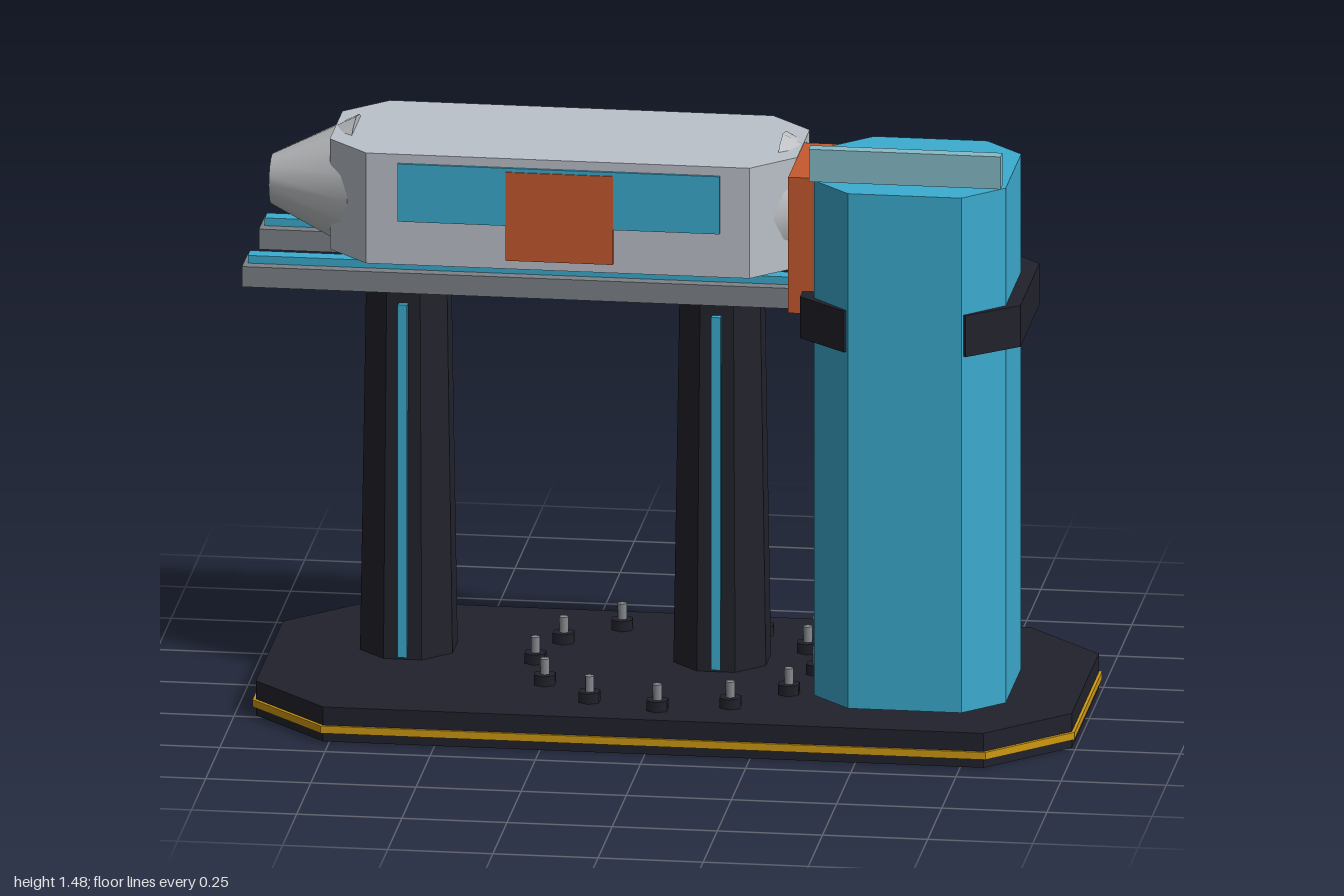
import * as THREE from 'three';

export function createModel() {
  const root = new THREE.Group();
  const mat = (name, color) => {
    const m = new THREE.MeshStandardMaterial({ color });
    m.name = name;
    return m;
  };
  const dark = mat('dark', 0x22222d);
  const blue = mat('blue', 0x3cacd0);
  const hull = mat('pale hull', 0xbcc2ca);
  const nose = mat('nose grey', 0xbfc1c4);
  const steel = mat('rail steel', 0x7d8288);
  const pinGrey = mat('pin grey', 0x888c90);
  const orange = mat('orange', 0xc65a2e);
  const gold = mat('gold', 0xd09a12);
  const pale = mat('pale blue', 0x86bcc8);

  const add = (name, geo, material, x = 0, y = 0, z = 0) => {
    const m = new THREE.Mesh(geo, material);
    m.name = name;
    m.position.set(x, y, z);
    root.add(m);
    return m;
  };
  // box given by its min and max corners
  const box = (name, material, x0, x1, y0, y1, z0, z1) =>
    add(name, new THREE.BoxGeometry(x1 - x0, y1 - y0, z1 - z0), material,
      (x0 + x1) / 2, (y0 + y1) / 2, (z0 + z1) / 2);
  // upright prism from a plan outline of [x, z] points
  const prism = (name, material, plan, y0, y1) => {
    const shape = new THREE.Shape(plan.map(([x, z]) => new THREE.Vector2(x, -z)));
    const geo = new THREE.ExtrudeGeometry(shape, { depth: y1 - y0, bevelEnabled: false });
    geo.rotateX(-Math.PI / 2);
    return add(name, geo, material, 0, y0, 0);
  };
  // rectangle with cut corners
  const cutRect = (x0, x1, z0, z1, c) => [
    [x0 + c, z1], [x1 - c, z1], [x1, z1 - c], [x1, z0 + c],
    [x1 - c, z0], [x0 + c, z0], [x0, z0 + c], [x0, z1 - c],
  ];

  // base with gold trim
  prism('base', dark, cutRect(-0.95, 0.99, -0.427, 0.42, 0.185), 0, 0.085);
  prism('baseTrim', gold, cutRect(-0.957, 0.997, -0.434, 0.427, 0.187), 0.022, 0.04);

  // ring of bolts
  for (let i = 0; i < 12; i++) {
    const a = (i * Math.PI) / 6;
    const x = 0.018 + 0.335 * Math.cos(a), z = 0.335 * Math.sin(a);
    add('boltBase', new THREE.CylinderGeometry(0.028, 0.028, 0.025, 6), dark, x, 0.0975, z);
    add('boltPin', new THREE.CylinderGeometry(0.011, 0.011, 0.05, 8), pinGrey, x, 0.123, z);
  }

  // tapered eight-sided pillars with light strips
  const AXIS = -0.09;
  const k = 1 / Math.cos(Math.PI / 8);
  for (const x of [-0.63, 0.115]) {
    const geo = new THREE.CylinderGeometry(0.096 * k, 0.11 * k, 0.92, 8).toNonIndexed();
    geo.rotateY(Math.PI / 8);
    geo.computeVertexNormals();
    add('pillar', geo, dark, x, 0.54, AXIS);
    for (const s of [-1, 1]) {
      add('pillarStrip', new THREE.BoxGeometry(0.022, 0.87, 0.018), blue, x, 0.525, AXIS + s * 0.105);
    }
  }

  // twin rails
  for (const z of [AXIS - 0.15, AXIS + 0.15]) {
    box('rail', steel, -1, 0.54, 1.016, 1.066, z - 0.049, z + 0.049);
    box('railStrip', blue, -0.99, 0.53, 1.066, 1.085, z - 0.02, z + 0.02);
  }

  // carriage
  prism('carriageBody', hull, cutRect(-0.803, 0.308, -0.302, 0.12, 0.1), 1.09, 1.362);
  for (const s of [-1, 1]) {
    const geo = new THREE.CylinderGeometry(0.06, 0.16, 0.2, 16);
    geo.rotateZ(-s * Math.PI / 2);
    add('carriageNose', geo, nose, -0.248 + s * 0.607, 1.225, AXIS);
    const side = AXIS + s * 0.211;
    add('sideWindow', new THREE.BoxGeometry(0.765, 0.142, 0.008), blue, -0.245, 1.269, side + s * 0.002);
    add('sideDoor', new THREE.BoxGeometry(0.255, 0.218, 0.012), orange, -0.243, 1.222, side + s * 0.003);
  }

  // docking gate between carriage and tower
  box('dockGate', orange, 0.307, 0.385, 1.025, 1.36, -0.105, 0.172);

  // tower on its spindle
  prism('tower', blue, cutRect(0.375, 0.831, -0.145, 0.314, 0.093), 0.1, 1.37);
  add('spindle', new THREE.CylinderGeometry(0.029, 0.029, 1.3, 16), pinGrey, 0.603, 0.735, 0.085);

  // collar around the tower, open at the front
  const half = [[0.145, 0.314], [0.262, 0.215], [0.262, -0.12], [0.15, -0.238]];
  const inner = [[0.12, -0.13], [0.215, -0.04], [0.215, 0.21], [0.13, 0.3]];
  const right = (p) => p.map(([x, z]) => [0.603 + x, z]);
  const left = (p) => p.map(([x, z]) => [0.603 - x, z]).reverse();
  prism('collar', dark,
    [...right(half), ...left(half), ...left(inner), ...right(inner)], 0.978, 1.08);

  // sign panel floating above the tower front
  box('signPanel', pale, 0.375, 0.831, 1.395, 1.475, 0.28, 0.312);

  return root;
}
